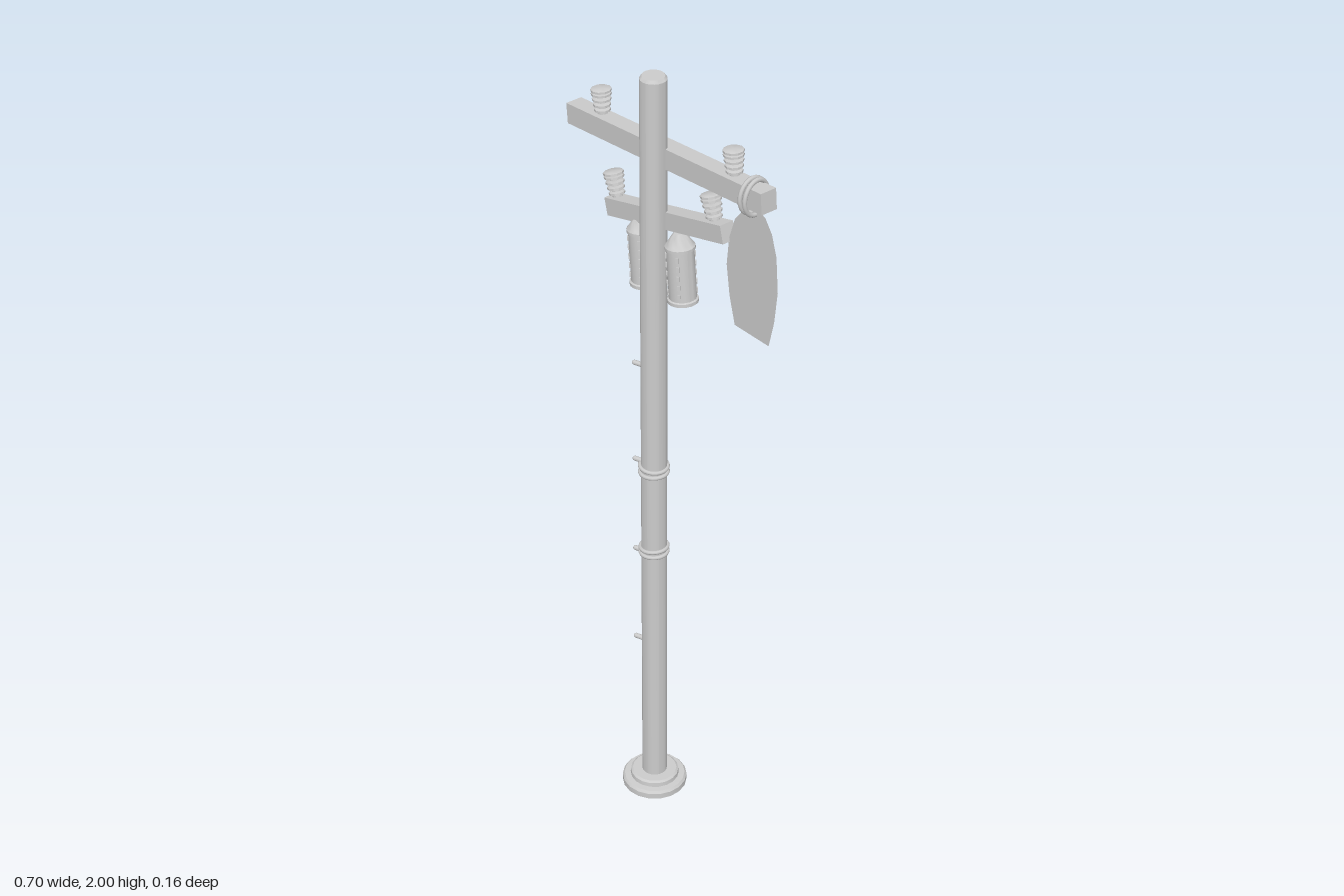
import * as THREE from 'three';
import { toCreasedNormals } from 'three/addons/utils/BufferGeometryUtils.js';

const grey = new THREE.MeshStandardMaterial({ color: 0xcccccc });
const greySheet = new THREE.MeshStandardMaterial({ color: 0xcccccc, side: THREE.DoubleSide });
const POLE_X = -0.032;

function add(parent, name, geometry, x = 0, y = 0, z = 0, material = grey) {
  const mesh = new THREE.Mesh(geometry, material);
  mesh.name = name;
  mesh.position.set(x, y, z);
  parent.add(mesh);
  return mesh;
}

// Turned part from [radius, height] pairs, with crisp edges
function turned(profile, sides) {
  const points = profile.map(([r, y]) => new THREE.Vector2(r, y));
  return toCreasedNormals(new THREE.LatheGeometry(points, sides), 0.6);
}

// Ribbed insulator standing on y = 0
function insulatorGeometry() {
  const profile = [[0, 0], [0.012, 0]];
  for (let i = 0; i < 4; i++) {
    const y = 0.006 + i * 0.013;
    const r = 0.019 + i * 0.0015;
    profile.push([0.012, y], [r, y + 0.002], [r, y + 0.007], [0.012, y + 0.01]);
  }
  profile.push([0.013, 0.055], [0.024, 0.056], [0.024, 0.061], [0.02, 0.063], [0, 0.063]);
  return turned(profile, 10);
}

// Tilted cross beam carrying insulators
function crossBeam(name, length, height, depth, insulatorXs) {
  const group = new THREE.Group();
  group.name = name;
  add(group, 'beam', new THREE.BoxGeometry(length, height, depth));
  const geometry = insulatorGeometry();
  for (const x of insulatorXs) add(group, 'insulator', geometry, x, height / 2 - 0.002, -0.003);
  return group;
}

// Transformer can with cone top, rims and vent rows on front and back
function transformer() {
  const group = new THREE.Group();
  group.name = 'transformer';
  add(group, 'can', turned([
    [0, 0], [0.036, 0], [0.036, 0.008], [0.032, 0.01], [0.032, 0.132],
    [0.035, 0.133], [0.035, 0.14], [0.03, 0.146], [0.019, 0.163], [0.012, 0.172], [0, 0.174],
  ], 18));
  const vent = new THREE.BoxGeometry(0.007, 0.012, 0.005);
  for (const angle of [-0.65, 0.65, Math.PI - 0.65, Math.PI + 0.65]) {
    for (let i = 0; i < 5; i++) {
      const v = add(group, 'vent', vent, Math.sin(angle) * 0.032, 0.025 + i * 0.023, Math.cos(angle) * 0.032);
      v.rotation.y = angle;
    }
  }
  return group;
}

export function createModel() {
  const model = new THREE.Group();
  model.name = 'utilityPole';

  // Pole and stepped foot
  add(model, 'pole', turned([[0, 0.01], [0.031, 0.01], [0.031, 1.993], [0.026, 2], [0, 2]], 20), POLE_X);
  add(model, 'foot', turned([
    [0, 0], [0.081, 0], [0.081, 0.015], [0.076, 0.021], [0.061, 0.022],
    [0.06, 0.033], [0.055, 0.037], [0, 0.037],
  ], 18), POLE_X);

  // Cross beams
  const upper = crossBeam('upperCrossBeam', 0.667, 0.05, 0.043, [-0.232, 0.221]);
  upper.position.set(-0.02, 1.8, -0.032);
  upper.rotation.z = 0.086;
  const lower = crossBeam('lowerCrossBeam', 0.415, 0.043, 0.037, [-0.185, 0.164]);
  lower.position.set(-0.0145, 1.643, -0.029);
  lower.rotation.z = 0.262;
  model.add(upper, lower);

  // Transformers hanging below the lower beam
  for (const [x, y] of [[-0.095, 1.436], [0.039, 1.453]]) {
    const can = transformer();
    can.position.set(x, y, -0.027);
    can.rotation.z = 0.085;
    model.add(can);
  }

  // Tapered sheet hanging from the beam end
  const outline = [
    [0.212, 1.472], [0.325, 1.472], [0.341, 1.54], [0.35, 1.62], [0.343, 1.705], [0.327, 1.755],
    [0.305, 1.785], [0.272, 1.803], [0.243, 1.785], [0.207, 1.74], [0.189, 1.685], [0.182, 1.615], [0.193, 1.54],
  ].map(([x, y]) => new THREE.Vector2(x, y));
  add(model, 'hangingSheet', new THREE.ShapeGeometry(new THREE.Shape(outline)), 0, 0, -0.03, greySheet);

  // Ties holding the sheet
  const tieGeometry = new THREE.TorusGeometry(0.036, 0.005, 8, 24);
  for (const [x, tilt] of [[0.26, 0.03], [0.273, 0.1]]) {
    const tie = add(model, 'sheetTie', tieGeometry, x, 1.822, -0.031);
    tie.rotation.set(0, Math.PI / 2 + tilt, 0);
    tie.scale.y = 1.15;
  }

  // Wire bands around the pole
  const bandGeometry = new THREE.TorusGeometry(0.033, 0.005, 8, 24);
  for (const [y, tilt] of [[0.974, -0.06], [0.957, 0.03], [0.737, 0.1], [0.723, 0.04]]) {
    const band = add(model, 'wireBand', bandGeometry, POLE_X - 0.001, y, 0);
    band.rotation.set(Math.PI / 2, tilt, 0);
  }

  // Climbing pegs
  const pegGeometry = new THREE.CapsuleGeometry(0.006, 0.034, 4, 8);
  pegGeometry.rotateZ(Math.PI / 2);
  for (const y of [0.447, 0.717, 0.98, 1.25]) {
    const peg = add(model, 'climbingPeg', pegGeometry, -0.06, y, 0.016);
    peg.rotation.y = 0.35;
  }
  return model;
}
